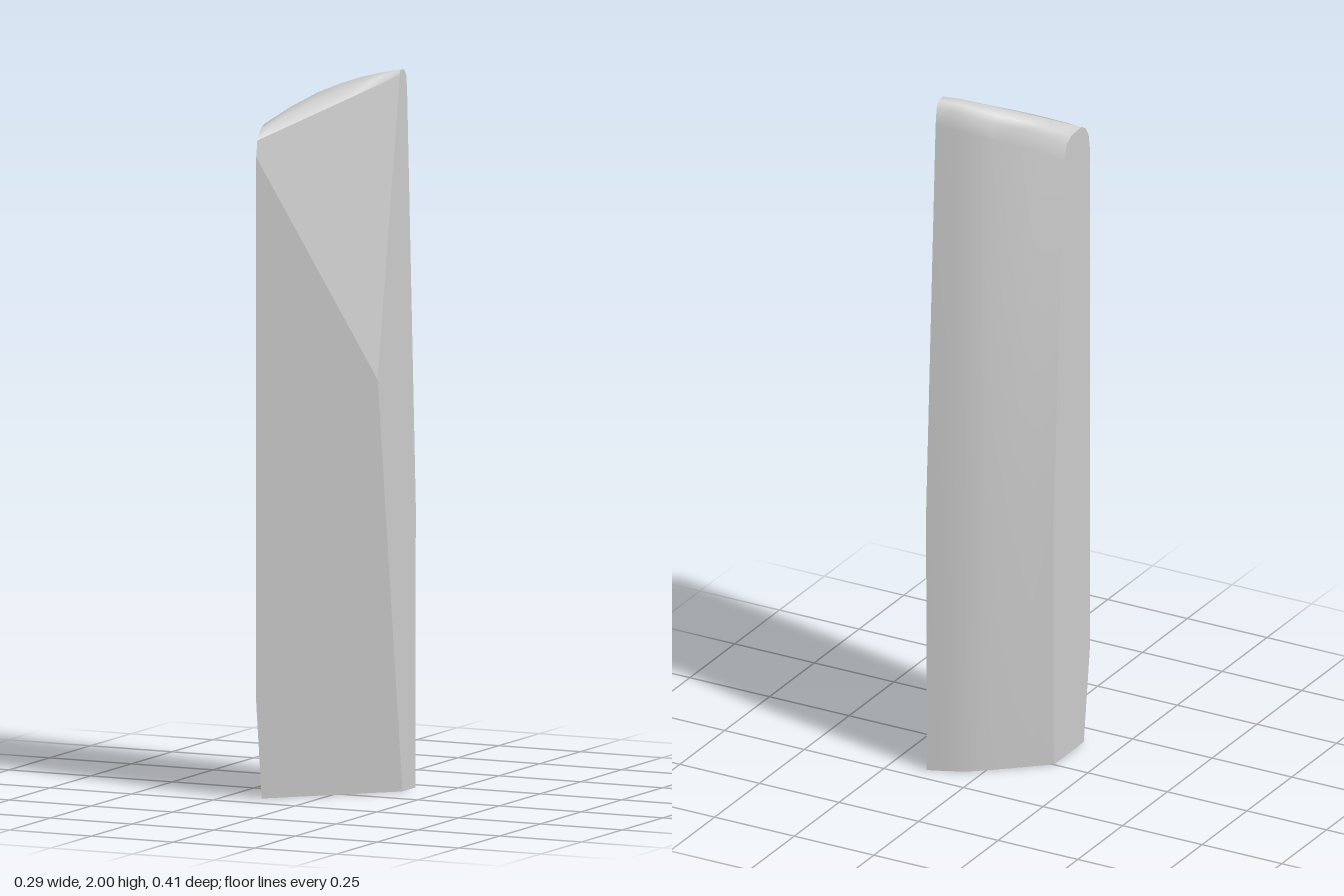
import * as THREE from 'three';
import { toCreasedNormals } from 'three/addons/utils/BufferGeometryUtils.js';

const lerp = THREE.MathUtils.lerp;
const HALF = 0.143;
const FRONT_BANDS = 3; // the first bands of each outline are the flat front facets

// Each station across the width: x, crest height, crest front z, crest back z, shoulder z, lower back z
const stations = [
  [-HALF, 1.865, 0.155, 0.100, 0.060, 0.000],
  [-0.10, 1.905, 0.080, 0.035, 0.012, -0.039],
  [-0.05, 1.940, 0.014, -0.028, -0.045, -0.083],
  [0.00, 1.963, -0.030, -0.070, -0.095, -0.126],
  [0.045, 1.979, -0.060, -0.095, -0.120, -0.160],
  [0.10, 1.993, -0.087, -0.115, -0.138, -0.186],
  [HALF, 2.000, -0.110, -0.133, -0.151, -0.204],
];

// Outline at one station: up the front, over the rounded top and down the back
function profile([x, crestY, crestFront, crestBack, shoulder, back]) {
  const t = (x + HALF) / (2 * HALF);
  const topZ = lerp(0.195, -0.106, t), topY = lerp(1.825, 1.985, t);
  const points = [
    [lerp(0.168, -0.122, t), 0],
    [lerp(0.202, 0.03, t), lerp(0.27, 1.16, t)],
    [lerp(0.202, 0.03, t), lerp(1.78, 1.16, t)],
    [topZ, topY],
    [lerp(topZ, crestFront, 0.4), lerp(topY, crestY, 0.65)],
    [crestFront, crestY],
    [crestBack, crestY - 0.003],
    [lerp(crestBack, shoulder, 0.7), crestY - 0.02],
    [shoulder, crestY - 0.07],
    [back, 0.78],
    [back + 0.003, 0],
  ];
  return points.map(([z, y]) => new THREE.Vector3(x, y, z));
}

const rings = stations.map(profile);
const count = rings[0].length;

// Geometry from a list of triangles, leaving out those that collapse to a line
function fromTriangles(triangles, creaseAngle) {
  const points = triangles
    .filter(([a, b, c]) => b.clone().sub(a).cross(c.clone().sub(a)).length() > 1e-8)
    .flat();
  return toCreasedNormals(new THREE.BufferGeometry().setFromPoints(points), creaseAngle);
}

// Skin between neighbouring outlines, over a range of bands
function skin(from, to, creaseAngle) {
  const triangles = [];
  for (let i = 0; i < rings.length - 1; i++) {
    for (let j = from; j < to; j++) {
      const k = (j + 1) % count;
      const a = rings[i][j], b = rings[i + 1][j], c = rings[i + 1][k], d = rings[i][k];
      triangles.push([a, b, c], [a, c, d]);
    }
  }
  return fromTriangles(triangles, creaseAngle);
}

// Flat face closing one end
function endFace(ring, flip) {
  const centre = new THREE.Vector3();
  ring.forEach((p) => centre.addScaledVector(p, 1 / count));
  return fromTriangles(ring.map((a, j) => {
    const b = ring[(j + 1) % count];
    return flip ? [centre, b, a] : [centre, a, b];
  }), 0.1);
}

export function createModel() {
  const grey = new THREE.MeshStandardMaterial({ color: 0xcccccc });
  grey.name = 'lightGrey';
  const model = new THREE.Group();
  model.name = 'facetedSlab';
  const add = (name, geometry) => {
    const mesh = new THREE.Mesh(geometry, grey);
    mesh.name = name;
    model.add(mesh);
  };

  add('frontFacets', skin(0, FRONT_BANDS, 0.06));
  add('roundedTopAndBack', skin(FRONT_BANDS, count, 1.1));
  add('rightEnd', endFace(rings[0], false));
  add('leftEnd', endFace(rings[rings.length - 1], true));
  return model;
}
